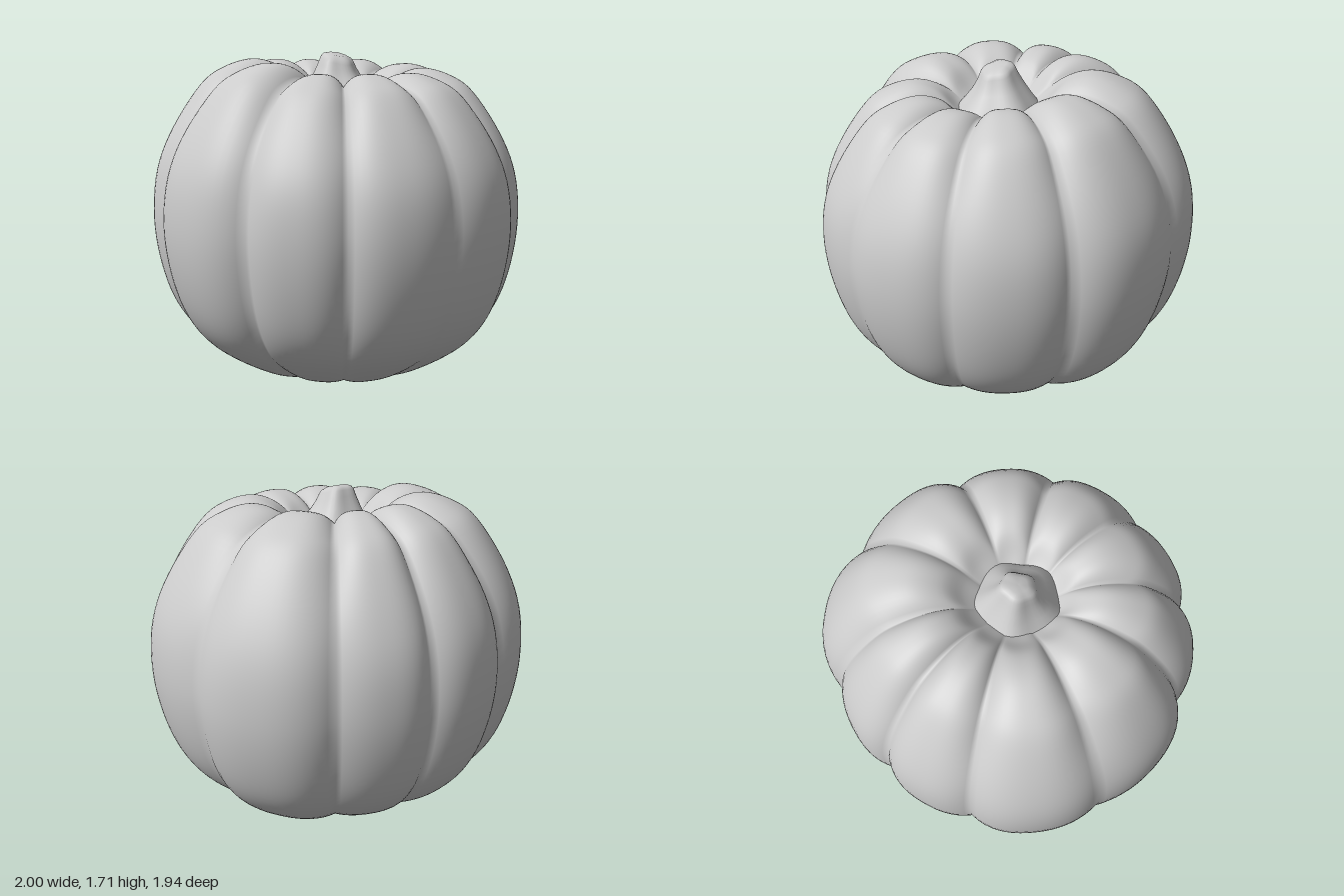
import * as THREE from 'three';

// Ten grooves around the shell: [x, z] of each at the widest height
const GROOVES = [
  [0.03, -0.925], [0.49, -0.82], [0.925, -0.29], [0.83, 0.39], [0.44, 0.815],
  [-0.09, 0.94], [-0.56, 0.715], [-0.85, 0.33], [-0.905, -0.34], [-0.46, -0.825],
];
// Radius and top height of the rib that follows each groove
const RIB_RADIUS = [0.985, 1.04, 1.0, 0.965, 0.975, 0.97, 0.965, 1.0, 1.015, 0.985];
const RIB_TOP = [1.69, 1.69, 1.665, 1.64, 1.615, 1.61, 1.61, 1.665, 1.69, 1.69];

// Meridians from the underside to the stem: along a rib crest and along a groove
const spline = (pts) => new THREE.SplineCurve(pts.map(([r, y]) => new THREE.Vector2(r, y)));
const RIB = spline([
  [0, 0.045], [0.04, 0.05], [0.08, 0.06], [0.13, 0.04], [0.28, 0.012], [0.42, 0.022], [0.57, 0.085],
  [0.77, 0.22], [0.895, 0.38], [0.97, 0.6], [1, 0.85], [0.975, 1.1], [0.885, 1.32], [0.735, 1.54],
  [0.61, 1.63], [0.46, 1.67], [0.33, 1.635], [0.23, 1.54], [0.14, 1.47],
]);
const GROOVE = spline([
  [0, 0.045], [0.04, 0.05], [0.08, 0.06], [0.135, 0.042], [0.29, 0.02], [0.435, 0.032], [0.585, 0.097],
  [0.78, 0.235], [0.9, 0.4], [0.97, 0.6], [1, 0.85], [0.965, 1.1], [0.87, 1.31], [0.7, 1.51],
  [0.57, 1.58], [0.43, 1.602], [0.31, 1.575], [0.22, 1.515], [0.14, 1.46],
]);

// Closed-ring surface: point(row, col) gives [x, y, z]; rows rise, columns go round
function loft(rows, cols, point) {
  const pos = [], index = [];
  for (let i = 0; i <= rows; i++) {
    for (let j = 0; j < cols; j++) {
      pos.push(...point(i, j));
      if (i === rows) continue;
      const a = i * cols + j, b = i * cols + (j + 1) % cols;
      index.push(a, a + cols, b, b, a + cols, b + cols);
    }
  }
  const geo = new THREE.BufferGeometry();
  geo.setAttribute('position', new THREE.Float32BufferAttribute(pos, 3));
  geo.setIndex(index);
  geo.computeVertexNormals();
  return geo;
}

function shellGeometry() {
  const ribs = GROOVES.length, perRib = 18, rows = 90;
  const lerp = THREE.MathUtils.lerp;
  return loft(rows, ribs * perRib, (i, j) => {
    const k = Math.floor(j / perRib), n = (k + 1) % ribs, p = (k + ribs - 1) % ribs;
    const u = (j % perRib) / perRib;
    const [x0, z0] = GROOVES[k], [x1, z1] = GROOVES[n];
    const a0 = Math.atan2(z0, x0);
    let a1 = Math.atan2(z1, x1);
    if (a1 < a0) a1 += Math.PI * 2;
    const angle = lerp(a0, a1, u);

    // Rounded across the rib, creased where two ribs meet
    const bulge = 1 - Math.abs(2 * u - 1) ** 2.8;
    const grooveR = lerp(Math.hypot(x0, z0), Math.hypot(x1, z1), u);
    const radius = lerp(grooveR, RIB_RADIUS[k], bulge);

    // Each rib has its own shoulder height, shared at the grooves
    const side = u < 0.5 ? p : n;
    const top = lerp((RIB_TOP[k] + RIB_TOP[side]) / 2, RIB_TOP[k], bulge);
    const rib = RIB.getPoint(i / rows), groove = GROOVE.getPoint(i / rows);
    const r = lerp(groove.x, rib.x, bulge) * radius;
    let y = lerp(groove.y, rib.y, bulge);
    if (y > 0.85) y = 0.85 + (y - 0.85) * (top - 0.85) / 0.82;
    return [r * Math.cos(angle), y, r * Math.sin(angle)];
  });
}

// Five-sided stem stub, flared at the foot, with a slanted cut top
function stemGeometry() {
  const rings = [
    [0.24, 1.45], [0.2, 1.505], [0.16, 1.555], [0.125, 1.605], [0.1, 1.65],
    [0.088, 1.68], [0.074, 1.7], [0.045, 1.712], [0, 1.71],
  ];
  const cols = 40;
  return loft(rings.length - 1, cols, (i, j) => {
    const a = (j / cols) * Math.PI * 2;
    const [r, y] = rings[i];
    const rr = r * (1 + 0.06 * Math.cos(5 * (a - Math.PI / 2)));
    const t = THREE.MathUtils.smoothstep(y, 1.5, 1.69);
    const z = rr * Math.sin(a);
    return [rr * Math.cos(a) - 0.005 - 0.015 * t, y - 0.3 * t * z, z];
  });
}

export function createModel() {
  const material = new THREE.MeshStandardMaterial({ color: 0xcccccc });
  const group = new THREE.Group();
  group.name = 'pumpkin';
  const add = (name, geometry) => {
    const mesh = new THREE.Mesh(geometry, material);
    mesh.name = name;
    group.add(mesh);
  };
  add('ribbedShell', shellGeometry());
  add('stem', stemGeometry());

  // Rest on the ground
  group.position.y = -new THREE.Box3().setFromObject(group).min.y;
  return group;
}
